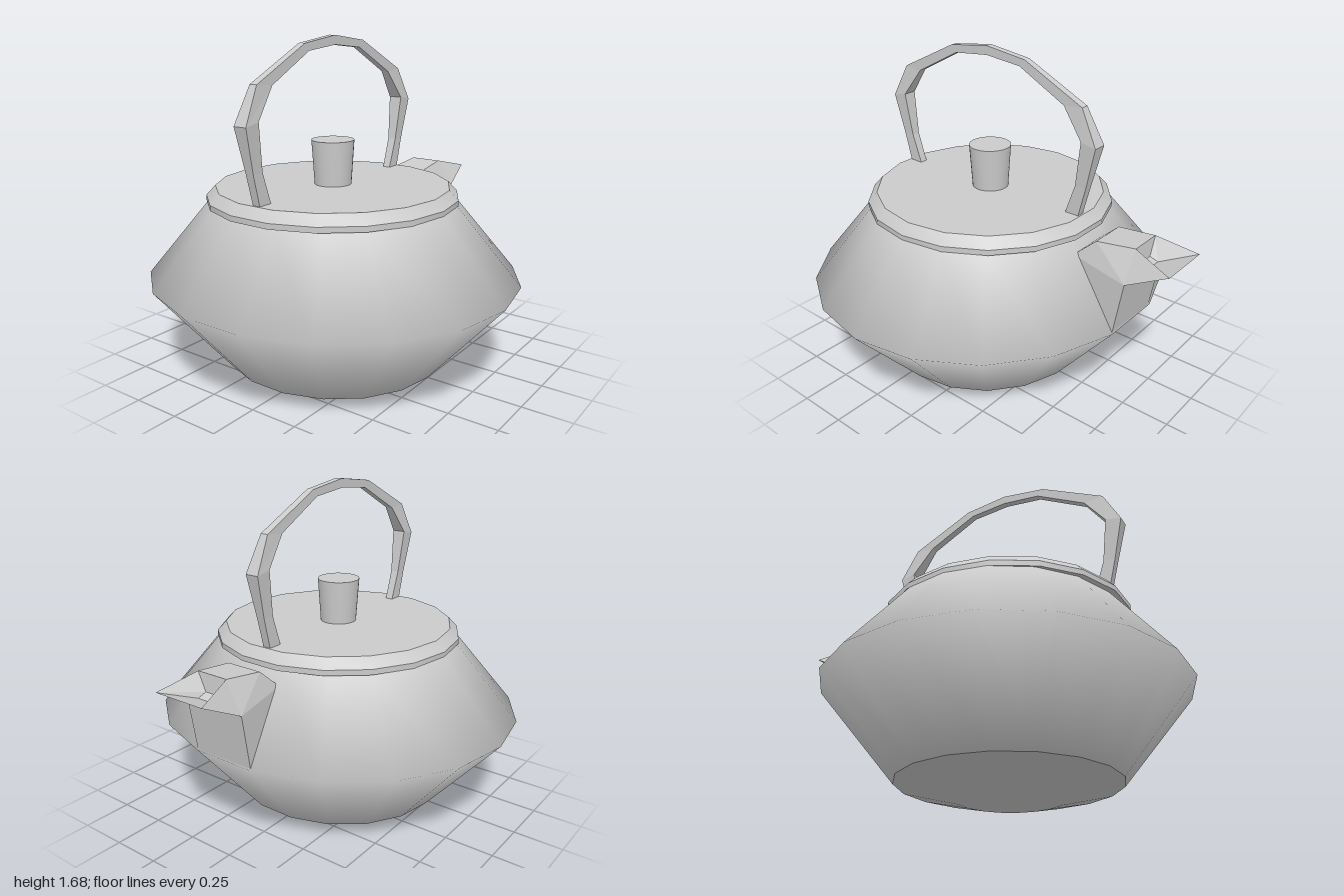
import * as THREE from 'three';
import { toCreasedNormals } from 'three/addons/utils/BufferGeometryUtils.js';

const CENTRE_Z = 0.12;
const SIDES = 18;

const smooth = new THREE.MeshStandardMaterial({ color: 0xcccccc });
const faceted = new THREE.MeshStandardMaterial({ color: 0xcccccc, flatShading: true, side: THREE.DoubleSide });

// Round part from [radius, height] points, with a flat facing front and back
function turned(points) {
  return new THREE.LatheGeometry(points.map(([r, y]) => new THREE.Vector2(r, y)), SIDES, Math.PI / SIDES);
}

const mirror = ([x, y, z]) => [-x, y, z];

// Collects faces; every face can be mirrored across x = 0
class Panels {
  constructor() { this.data = []; }
  face(...p) {
    for (let i = 1; i < p.length - 1; i++) this.data.push(...p[0], ...p[i], ...p[i + 1]);
  }
  // the same face on both sides
  pair(...p) {
    this.face(...p);
    this.face(...p.map(mirror).reverse());
  }
  // panel spanning from the left side to the right side
  strip(p, q) { this.face(p, mirror(p), mirror(q), q); }
  geometry() {
    const g = new THREE.BufferGeometry();
    g.setAttribute('position', new THREE.Float32BufferAttribute(this.data, 3));
    g.computeVertexNormals();
    return g;
  }
}

function spoutGeometry() {
  const s = new Panels();
  const root = [0.165, 0.51, -0.755];
  const elbow = [0.165, 0.785, -0.8];
  const tip = [0.137, 0.885, -1];
  const ridge = [0.085, 0.935, -0.8];
  const crown = [0.095, 0.91, -0.6];
  const neck = [0.112, 0.81, -0.49];
  // outer shell
  for (const [p, q] of [[root, elbow], [elbow, tip], [ridge, crown], [crown, neck]]) s.strip(p, q);
  const rim = [tip, ridge, crown, neck, root];
  for (let i = 0; i < rim.length - 1; i++) s.pair(elbow, rim[i], rim[i + 1]);
  // funnel-shaped opening
  const inFront = [0.045, 0.83, -0.845], inBack = [0.035, 0.85, -0.808];
  s.strip(tip, inFront);
  s.strip(inFront, inBack);
  s.strip(inBack, ridge);
  s.pair(tip, inFront, inBack, ridge);
  return s.geometry();
}

function handleGeometry() {
  // half arch: outer z, outer y, inner z, inner y, half width
  const half = [
    [0.56, 0.95, 0.485, 0.95, 0.02],
    [0.60, 1.11, 0.54, 1.11, 0.022],
    [0.65, 1.32, 0.57, 1.335, 0.035],
    [0.56, 1.49, 0.46, 1.48, 0.02],
    [0.23, 1.65, 0.2, 1.615, 0.018],
    [0, 1.68, 0, 1.635, 0.018],
  ];
  const back = half.slice(0, -1).reverse().map(([oz, oy, iz, iy, w]) => [-oz, oy, -iz, iy, w]);
  const arch = [...half, ...back].map(([oz, oy, iz, iy, w]) => ({
    outer: [w, oy, oz + CENTRE_Z], inner: [w, iy, iz + CENTRE_Z],
  }));
  const h = new Panels();
  for (let i = 0; i < arch.length - 1; i++) {
    const a = arch[i], b = arch[i + 1];
    h.strip(b.outer, a.outer);
    h.strip(a.inner, b.inner);
    h.pair(a.outer, b.outer, b.inner, a.inner);
  }
  return h.geometry();
}

export function createModel() {
  const model = new THREE.Group();
  const add = (name, geometry, material) => {
    const mesh = new THREE.Mesh(geometry, material);
    mesh.name = name;
    model.add(mesh);
    return mesh;
  };

  // Body and base are slightly narrower front to back than side to side
  const body = add('body', turned([[0.565, 0.07], [0.947, 0.51], [0.615, 0.9]]), smooth);
  const base = add('base', turned([[0, 0], [0.27, 0], [0.565, 0.07]]), smooth);
  for (const part of [body, base]) {
    part.scale.z = 0.945;
    part.position.z = CENTRE_Z;
  }

  // Chamfered lid
  const lidProfile = [[0, 0.885], [0.625, 0.885], [0.625, 0.912], [0.58, 0.96], [0, 0.96]];
  add('lid', toCreasedNormals(turned(lidProfile), 0.5), smooth).position.z = CENTRE_Z;

  // Tapered knob
  add('knob', new THREE.CylinderGeometry(0.106, 0.091, 0.23, 32), smooth).position.set(0, 1.065, CENTRE_Z);

  add('handle', handleGeometry(), faceted);
  add('spout', spoutGeometry(), faceted);
  return model;
}
